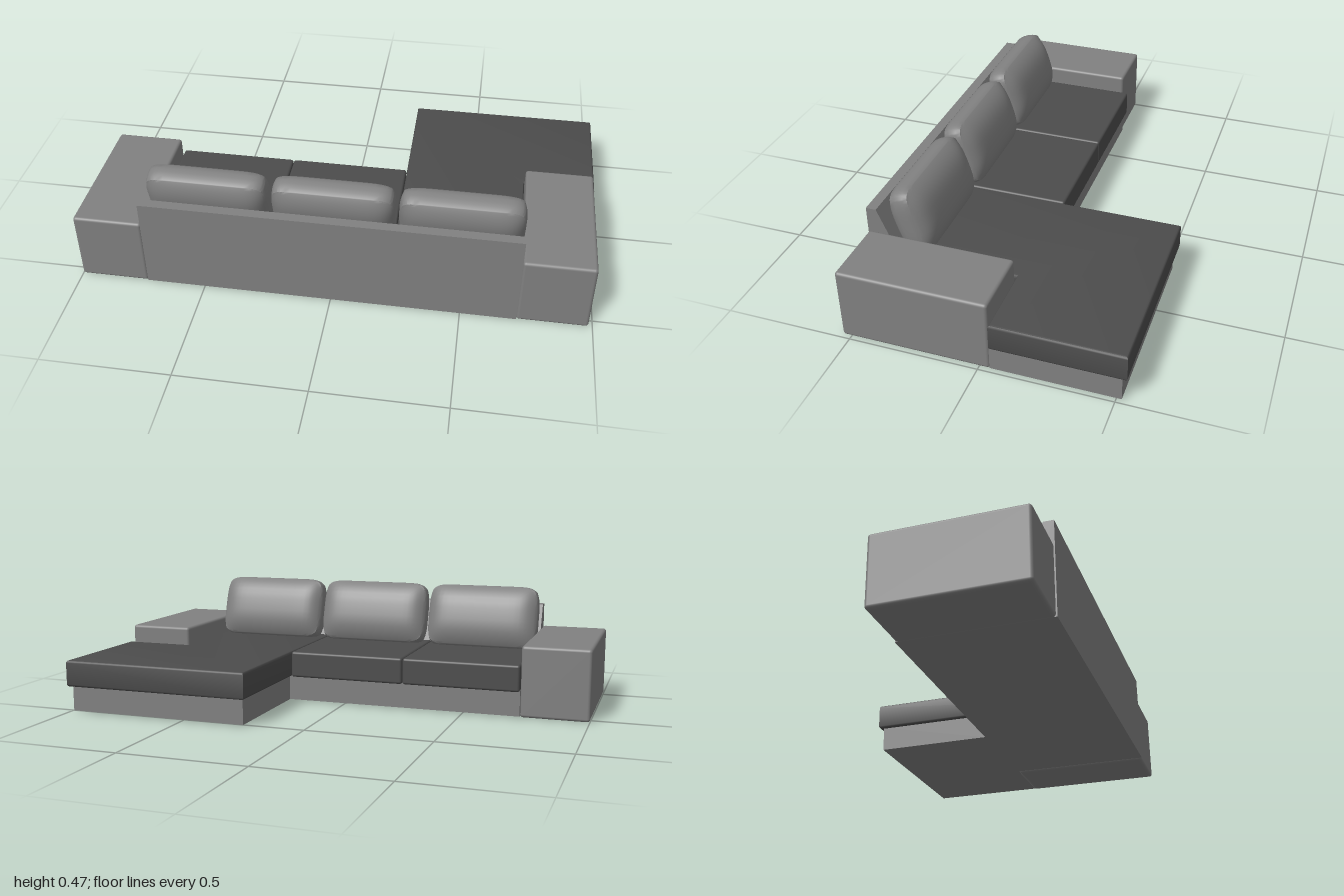
import * as THREE from 'three';
import { RoundedBoxGeometry } from 'three/addons/geometries/RoundedBoxGeometry.js';
import { toCreasedNormals } from 'three/addons/utils/BufferGeometryUtils.js';

const fabric = new THREE.MeshStandardMaterial({ color: 0x808080 });
const darkFabric = new THREE.MeshStandardMaterial({ color: 0x4c4c4c });

// Rounded block given by its limits on each axis
function block(name, [x0, x1], [y0, y1], [z0, z1], radius, material) {
  const geo = new RoundedBoxGeometry(x1 - x0, y1 - y0, z1 - z0, 3, radius);
  geo.translate((x0 + x1) / 2, (y0 + y1) / 2, (z0 + z1) / 2);
  const mesh = new THREE.Mesh(geo, material);
  mesh.name = name;
  return mesh;
}

// Slab with an outline in plan (x, z), rounded along its top and bottom edges
function slab(name, outline, y0, y1, bevel, material) {
  const shape = new THREE.Shape(outline.map(([x, z]) => new THREE.Vector2(x, z)));
  const geo = new THREE.ExtrudeGeometry(shape, {
    depth: y1 - y0 - 2 * bevel, bevelEnabled: bevel > 0, bevelSize: bevel,
    bevelThickness: bevel, bevelOffset: -bevel, bevelSegments: 3,
  });
  geo.rotateX(Math.PI / 2).translate(0, y1 - bevel, 0);
  const mesh = new THREE.Mesh(toCreasedNormals(geo, 0.6), material);
  mesh.name = name;
  return mesh;
}

// Plump cushion: a box swollen in the middle and pinched at its corners
function cushionGeometry(width, height, edge, bulge) {
  const geo = new THREE.BoxGeometry(2, 2, 2, 24, 16, 4);
  const pos = geo.attributes.position;
  for (let i = 0; i < pos.count; i++) {
    const u = Math.sin(pos.getX(i) * Math.PI / 2);
    const v = Math.sin(pos.getY(i) * Math.PI / 2);
    const w = pos.getZ(i);
    const half = edge + bulge * (1 - u ** 8) * (1 - Math.abs(v) ** 3);
    // Edge panels bow outwards slightly across the thickness
    const bow = 1 - 0.04 * w * w;
    pos.setXYZ(i,
      u * width / 2 * (1 - 0.05 * v ** 4) * (1 - 0.02 * w * w),
      v * height / 2 * (1 - 0.16 * u ** 12) * bow,
      w * half);
  }
  return toCreasedNormals(geo, 0.7);
}

export function createModel() {
  const sofa = new THREE.Group();
  sofa.name = 'cornerSofa';

  // Plinth under the seats and the chaise
  sofa.add(slab('base', [
    [-0.73, -0.045], [0.24, -0.045], [0.24, -0.52], [0.985, -0.52],
    [0.985, -0.04], [0.715, -0.04], [0.715, 0.385], [-0.73, 0.385],
  ], 0.005, 0.11, 0, fabric));

  // Armrests
  sofa.add(block('rightArm', [-1, -0.73], [0, 0.285], [-0.04, 0.535], 0.012, fabric));
  sofa.add(block('leftArm', [0.715, 0.985], [0, 0.285], [-0.04, 0.535], 0.012, fabric));

  // Backrest with a sloping front, extruded across the width
  const profile = new THREE.Shape([
    [-0.538, 0.005], [-0.538, 0.382], [-0.498, 0.382], [-0.38, 0.1], [-0.38, 0.005],
  ].map(([a, b]) => new THREE.Vector2(a, b)));
  const backGeo = new THREE.ExtrudeGeometry(profile, { depth: 1.445, bevelEnabled: false });
  backGeo.rotateY(Math.PI / 2).translate(-0.73, 0, 0);
  const backrest = new THREE.Mesh(backGeo, fabric);
  backrest.name = 'backrest';
  sofa.add(backrest);

  // Seat cushions
  sofa.add(block('rightSeat', [-0.73, -0.255], [0.105, 0.212], [-0.065, 0.42], 0.01, darkFabric));
  sofa.add(block('middleSeat', [-0.253, 0.226], [0.105, 0.212], [-0.065, 0.42], 0.01, darkFabric));
  sofa.add(slab('chaiseSeat', [
    [0.228, -0.54], [1, -0.54], [1, -0.046], [0.715, -0.046], [0.715, 0.42], [0.228, 0.42],
  ], 0.105, 0.212, 0.01, darkFabric));

  // Leaning back cushions
  const cushionGeo = cushionGeometry(0.475, 0.272, 0.036, 0.042);
  [-0.493, -0.006, 0.48].forEach((x, i) => {
    const cushion = new THREE.Mesh(cushionGeo, fabric);
    cushion.name = `backCushion${i + 1}`;
    cushion.position.set(x, 0.332, 0.376);
    cushion.rotation.x = 0.31;
    sofa.add(cushion);
  });

  return sofa;
}
